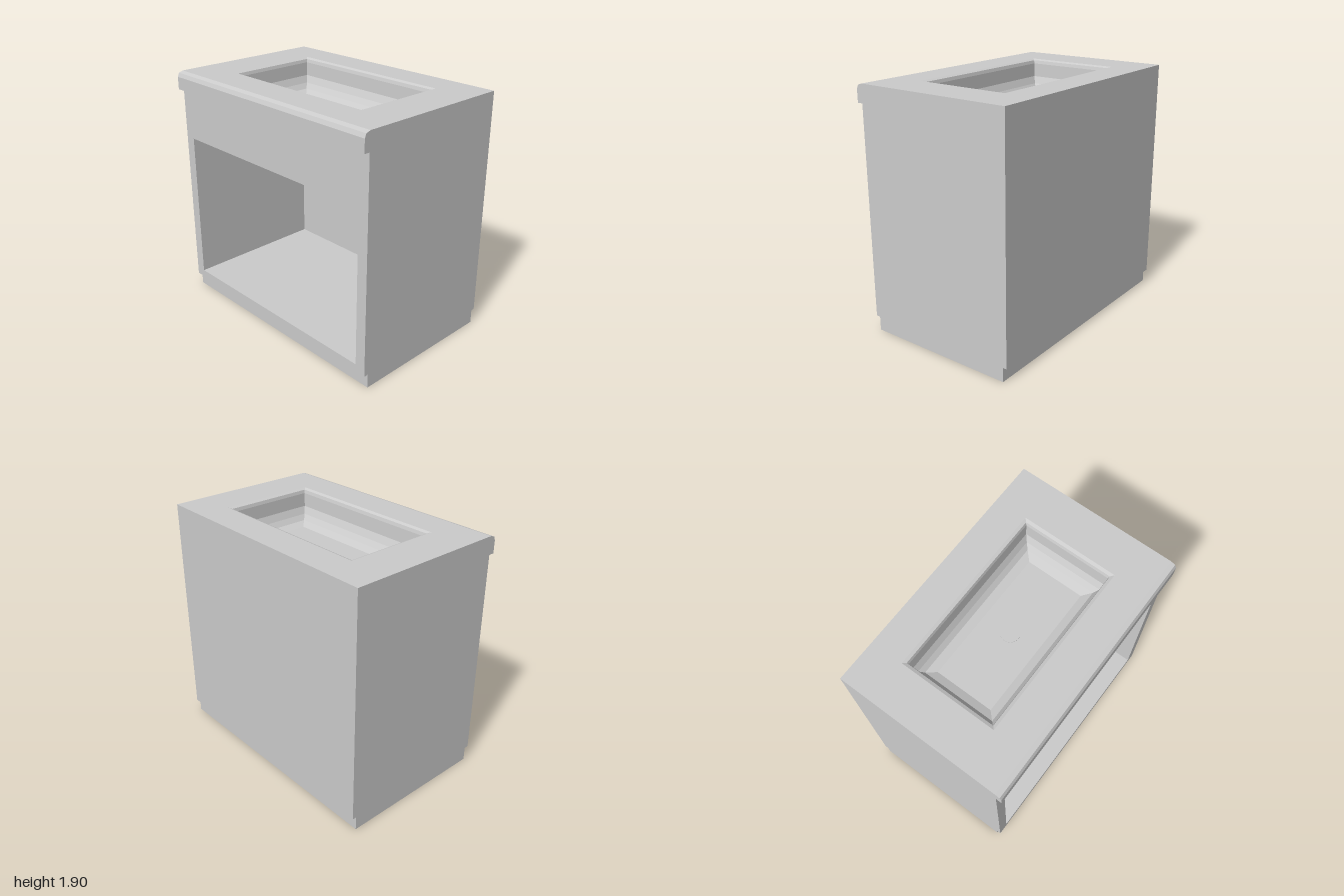
import * as THREE from 'three';

const material = new THREE.MeshStandardMaterial({ color: 0xcccccc, flatShading: true, side: THREE.DoubleSide });

// Geometry from a list of counter-clockwise quads
function quads(list) {
  const pos = [];
  for (const [a, b, c, d] of list) pos.push(...a, ...b, ...c, ...a, ...c, ...d);
  const g = new THREE.BufferGeometry();
  g.setAttribute('position', new THREE.Float32BufferAttribute(pos, 3));
  g.computeVertexNormals();
  return g;
}

// Side profile [z, y] drawn out across the full width
function strip(profile, halfWidth) {
  const list = [];
  for (let i = 0; i < profile.length - 1; i++) {
    const [z0, y0] = profile[i], [z1, y1] = profile[i + 1];
    list.push([[-halfWidth, y0, z0], [halfWidth, y0, z0], [halfWidth, y1, z1], [-halfWidth, y1, z1]]);
  }
  return quads(list);
}

const corners = ([x0, y0, x1, y1], inset = 0) => [
  [x0 + inset, y0 + inset], [x1 - inset, y0 + inset], [x1 - inset, y1 - inset], [x0 + inset, y1 - inset],
];
const toShape = (points) => new THREE.Shape(points.map(([x, y]) => new THREE.Vector2(x, y)));

// Flat panel facing +z with a rectangular opening
function panel(outer, hole) {
  const shape = toShape(corners(outer));
  shape.holes.push(toShape(corners(hole).reverse()));
  return new THREE.ShapeGeometry(shape);
}

// Hollow sinking towards -z from a rectangle; steps are [inset, depth]
function hollow(rect, steps) {
  const rings = steps.map(([inset, depth]) => corners(rect, inset).map(([x, y]) => [x, y, -depth]));
  const list = [rings[rings.length - 1]];
  for (let r = 0; r < rings.length - 1; r++) {
    for (let i = 0; i < 4; i++) {
      const j = (i + 1) % 4;
      list.push([rings[r][i], rings[r][j], rings[r + 1][j], rings[r + 1][i]]);
    }
  }
  return quads(list);
}

export function createModel() {
  const group = new THREE.Group();
  const add = (name, geometry, x = 0, y = 0, z = 0) => {
    const mesh = new THREE.Mesh(geometry, material);
    mesh.name = name;
    mesh.position.set(x, y, z);
    group.add(mesh);
  };

  const W = 1, TOP = 1.9, FRONT = 0.61, BACK = -0.65;

  // Back, recessed plinth and underside, then the rounded worktop edge
  const shell = [[BACK, TOP], [BACK, 0.11], [-0.62, 0.11], [-0.62, 0], [0.575, 0], [0.575, 0.11], [FRONT, 0.11]];
  const lip = [[FRONT, 1.76], [0.655, 1.76], [0.655, 1.858], [0.642, 1.888], [0.607, TOP]];
  add('backAndPlinth', strip(shell, W));
  add('worktopEdge', strip(lip, W));

  // Side panels follow the whole profile
  const profile = [...shell, ...lip];
  add('rightSide', new THREE.ShapeGeometry(toShape(profile)).rotateY(-Math.PI / 2), -W);
  add('leftSide', new THREE.ShapeGeometry(toShape(profile.map(([z, y]) => [-z, y]))).rotateY(Math.PI / 2), W);

  // Front frame and the open compartment behind it
  const opening = [-0.915, 0.17, 0.915, 1.365];
  add('frontFrame', panel([-W, 0.11, W, 1.76], opening), 0, 0, FRONT);
  add('compartment', hollow(opening, [[0, 0], [0, 1.16]]), 0, 0, FRONT);

  // Worktop and basin, laid out flat as (x, -z) and turned face up
  const rim = [-0.68, -0.355, 0.68, 0.4];
  const basinSteps = [[0, 0], [0.023, 0.01], [0.03, 0.035], [0.035, 0.14], [0.06, 0.195], [0.09, 0.235], [0.15, 0.26]];
  add('worktop', panel([-W, -0.607, W, -BACK], rim).rotateX(-Math.PI / 2), 0, TOP);
  add('basin', hollow(rim, basinSteps).rotateX(-Math.PI / 2), 0, TOP);

  // Drain cover on the basin floor
  add('drain', new THREE.CylinderGeometry(0.073, 0.073, 0.006, 14), 0, TOP - 0.258, -0.025);

  return group;
}
